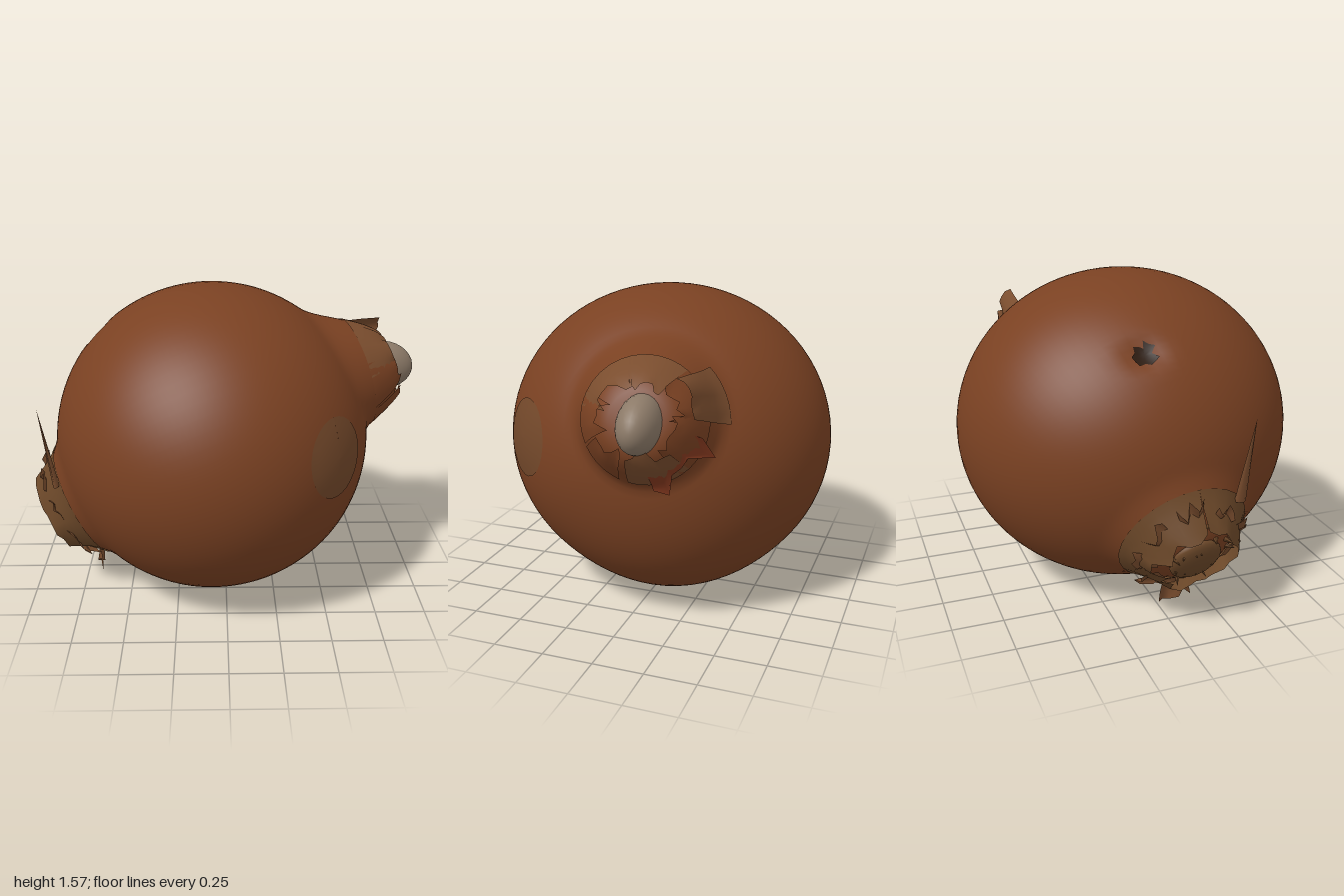
import * as THREE from 'three';
import { mergeVertices } from 'three/addons/utils/BufferGeometryUtils.js';

const V3 = (x, y, z) => new THREE.Vector3(x, y, z);
const centre = V3(-0.07, 0.785, 0);
const neckAxis = V3(0.9, 0.33, -0.17).normalize();
const rootAxis = V3(-0.89, -0.45, 0.08).normalize();
const scarAxis = V3(-0.59, 0.53, -0.1).normalize();
const bellyAxis = V3(0.65, -0.7, -0.25).normalize();
const UP = V3(0, 1, 0);

let seed = 7;
const rand = () => (seed = (seed * 16807) % 2147483647) / 2147483647;
const fade = (t, a, b) => 1 - THREE.MathUtils.smoothstep(t, a, b);
const mat = (color) => new THREE.MeshStandardMaterial({ color, side: THREE.DoubleSide });
const skin = mat(0x7a4122), husk = mat(0x7a4d2e), dry = mat(0x6c4829), tear = mat(0x85391f),
  pale = mat(0x8c7a68), olive = mat(0x73482a), dark = mat(0x2c1b10);

// Distance from the centre to the skin: an ellipsoid with a neck, a root swelling,
// a slightly full underside and a small dent
function skinRadius(d) {
  const base = 1 / Math.hypot(d.x / 0.8, d.y / 0.785, d.z / 0.84);
  const flare = 0.48 + 0.25 * (d.y - neckAxis.y); // the neck runs out longer above than below
  return base + 0.2 * fade(d.angleTo(neckAxis), 0.13, flare)
    + 0.11 * fade(d.angleTo(rootAxis), 0.1, 0.52)
    + 0.03 * fade(d.angleTo(bellyAxis), 0, 0.8)
    - 0.03 * fade(d.angleTo(scarAxis), 0.01, 0.16);
}

// Unit direction at angle theta from an axis, turned phi around it (phi 0 points up)
function direction(axis, theta, phi) {
  const u = UP.clone().addScaledVector(axis, -UP.dot(axis)).normalize();
  const v = axis.clone().cross(u);
  return axis.clone().multiplyScalar(Math.cos(theta))
    .addScaledVector(u, Math.sin(theta) * Math.cos(phi))
    .addScaledVector(v, Math.sin(theta) * Math.sin(phi));
}

const onSkin = (d, lift) => centre.clone().addScaledVector(d, skinRadius(d) + lift);

// A thin sheet following the skin from theta t0 to t1, with a ragged, lifted far edge
function peel(axis, { phi0, phi1, t0, t1, lift = 0, jag = 0, cols = 10, rows = 5 }) {
  const pos = [], index = [];
  for (let j = 0; j <= cols; j++) {
    const phi = phi0 + (phi1 - phi0) * j / cols;
    const end = t1 + jag * (rand() * 2 - 1), curl = lift * (0.6 + 0.4 * rand());
    for (let i = 0; i <= rows; i++) {
      const k = i / rows;
      const p = onSkin(direction(axis, t0 + (end - t0) * k, phi), 0.006 + curl * k * k);
      pos.push(p.x, p.y, p.z);
      if (i < rows && j < cols) {
        const a = j * (rows + 1) + i, b = a + rows + 1;
        index.push(a, b, a + 1, b, b + 1, a + 1);
      }
    }
  }
  const g = new THREE.BufferGeometry();
  g.setAttribute('position', new THREE.Float32BufferAttribute(pos, 3));
  g.setIndex(index);
  g.computeVertexNormals();
  return g;
}

export function createModel() {
  const model = new THREE.Group();
  const add = (name, geometry, material) => {
    const m = new THREE.Mesh(geometry, material);
    m.name = name;
    model.add(m);
    return m;
  };

  // Bulb: a sphere with its pole at the neck, pushed out to the skin
  let bulb = new THREE.SphereGeometry(1, 80, 72);
  bulb.applyQuaternion(new THREE.Quaternion().setFromUnitVectors(UP, neckAxis));
  bulb.deleteAttribute('uv');
  bulb.deleteAttribute('normal');
  bulb = mergeVertices(bulb, 1e-4);
  const p = bulb.attributes.position, d = V3();
  for (let i = 0; i < p.count; i++) {
    const q = onSkin(d.fromBufferAttribute(p, i).normalize(), 0);
    p.setXYZ(i, q.x, q.y, q.z);
  }
  bulb.computeVertexNormals();
  add('bulb', bulb, skin);

  // Marks on the skin
  const full = { phi0: 0, phi1: Math.PI * 2, t0: 0 };
  add('scar', peel(scarAxis, { ...full, t1: 0.065, jag: 0.025, cols: 14 }), dark);
  add('palePatch', peel(V3(0.55, 0.08, 0.52).normalize(),
    { ...full, t1: 0.24, lift: -0.004, cols: 28 }), olive);

  // Neck: pale tip, torn collar and loose scales
  const tip = add('neckTip', new THREE.SphereGeometry(1, 24, 16), pale);
  tip.scale.set(0.13, 0.17, 0.1);
  tip.position.set(0.83, 1.1, -0.18);
  tip.quaternion.setFromUnitVectors(UP, V3(1, -0.12, -0.05).normalize());
  for (let i = 0; i < 7; i++) {
    const phi0 = i * 0.9 + 0.2;
    add('neckScale', peel(neckAxis, {
      phi0, phi1: phi0 + 0.75 + 0.4 * rand(), t0: 0.34, t1: 0.16, lift: 0.03, jag: 0.04, cols: 6,
    }), i % 3 ? skin : husk);
  }
  add('backScale', peel(neckAxis, {
    phi0: 4.75, phi1: 5.5, t0: 0.48, t1: 0.23, lift: 0.15, jag: 0.01, cols: 6,
  }), husk);
  add('tornFlap', peel(neckAxis, {
    phi0: 3.3, phi1: 4.5, t0: 0.2, t1: 0.36, lift: 0.02, jag: 0.08, cols: 6,
  }), tear);

  // Root end: dry collar, outward frills, knob and rootlets
  add('rootCollar', peel(rootAxis, {
    ...full, t0: 0.4, t1: 0.2, lift: 0.07, jag: 0.05, cols: 26,
  }), dry);
  for (let i = 0; i < 9; i++) {
    const phi0 = i * 0.7;
    add('rootFrill', peel(rootAxis, {
      phi0, phi1: phi0 + 0.45, t0: 0.2, t1: 0.33, lift: 0.05, jag: 0.05, cols: 4,
    }), husk);
  }
  add('lowerFrill', peel(rootAxis, {
    phi0: 2.9, phi1: 3.4, t0: 0.26, t1: 0.4, lift: 0.14, jag: 0.03, cols: 5,
  }), husk);
  const knob = add('rootKnob', new THREE.SphereGeometry(1, 16, 10), dry);
  knob.scale.set(0.13, 0.04, 0.13);
  knob.position.copy(onSkin(rootAxis, 0));
  knob.quaternion.setFromUnitVectors(UP, rootAxis);
  for (let i = 0; i < 14; i++) {
    const dir = direction(rootAxis, 0.06 + 0.16 * rand(), i * 2.4);
    const rootlet = add('rootlet', new THREE.ConeGeometry(0.02, 0.09, 5), dry);
    rootlet.position.copy(onSkin(dir, 0.01));
    rootlet.quaternion.setFromUnitVectors(UP,
      dir.clone().add(direction(rootAxis, 1.2, rand() * 6.28)).normalize());
  }

  // Loose sliver of skin standing up beside the root
  const from = V3(-0.85, 0.62, 0.3), to = V3(-0.915, 1.04, 0.33);
  const sliver = add('skinSliver', new THREE.ConeGeometry(0.03, from.distanceTo(to), 6), husk);
  sliver.scale.x = 0.5;
  sliver.position.copy(from).lerp(to, 0.5);
  sliver.quaternion.setFromUnitVectors(UP, to.clone().sub(from).normalize());

  return model;
}
